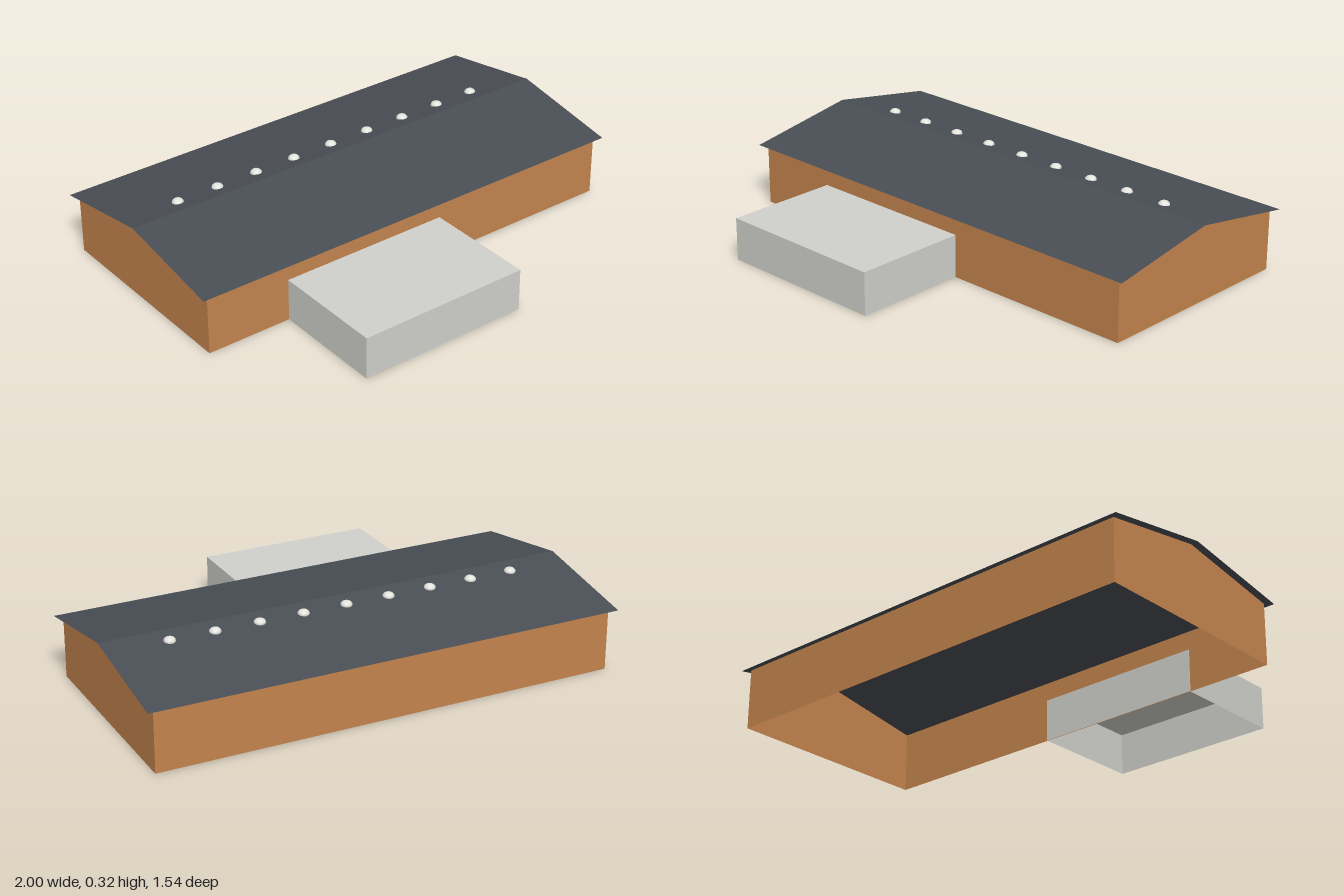
import * as THREE from 'three';

const material = (name, color, side = THREE.DoubleSide) => {
  const m = new THREE.MeshStandardMaterial({ color, side });
  m.name = name;
  return m;
};

// Thin open shell made of flat convex faces, each a loop of [x, y, z] corners
function shell(name, faces, mat) {
  const positions = [];
  for (const f of faces) {
    for (let i = 1; i < f.length - 1; i++) positions.push(...f[0], ...f[i], ...f[i + 1]);
  }
  const geometry = new THREE.BufferGeometry();
  geometry.setAttribute('position', new THREE.Float32BufferAttribute(positions, 3));
  geometry.computeVertexNormals();
  const mesh = new THREE.Mesh(geometry, mat);
  mesh.name = name;
  return mesh;
}

export function createModel() {
  const brick = material('brick', 0xc4844e);
  const slate = material('dark slate', 0x494e55);
  const concrete = material('concrete', 0xd0d1cb);
  const dome = material('skylight white', 0xe4e4de, THREE.FrontSide);

  const model = new THREE.Group();
  model.name = 'hall';
  const building = new THREE.Group();
  building.name = 'building';
  building.position.z = -0.19;
  building.rotation.y = 0.1464;
  model.add(building);

  // Height of the pitched roof at a distance z from the ridge
  const ridge = 0.318;
  const roofY = (z) => ridge - 0.166 * Math.abs(z);

  // Hall walls, open underneath
  const a = 0.914, b = 0.4285, drop = 0.002;
  const eave = roofY(b) - drop;
  const longWall = (s) => [[-s * a, 0, s * b], [s * a, 0, s * b], [s * a, eave, s * b], [-s * a, eave, s * b]];
  const gable = (s) => [
    [s * a, 0, s * b], [s * a, 0, -s * b], [s * a, eave, -s * b],
    [s * a, ridge - drop, 0], [s * a, eave, s * b],
  ];
  building.add(shell('walls', [longWall(1), longWall(-1), gable(1), gable(-1)], brick));

  // Two overhanging roof slopes
  const ra = 0.9425, rb = 0.4515;
  const slope = (s) => [
    [-s * ra, roofY(rb), s * rb], [s * ra, roofY(rb), s * rb],
    [s * ra, ridge, 0], [-s * ra, ridge, 0],
  ];
  building.add(shell('roof', [slope(1), slope(-1)], slate));

  // Flat-roofed annex, open underneath
  const x0 = -0.568, x1 = 0.132, z0 = 0.425, z1 = 0.887, h = 0.17;
  building.add(shell('annex', [
    [[x0, 0, z1], [x1, 0, z1], [x1, h, z1], [x0, h, z1]],
    [[x1, 0, z0], [x0, 0, z0], [x0, h, z0], [x1, h, z0]],
    [[x1, 0, z1], [x1, 0, z0], [x1, h, z0], [x1, h, z1]],
    [[x0, 0, z0], [x0, 0, z1], [x0, h, z1], [x0, h, z0]],
    [[x0, h, z1], [x1, h, z1], [x1, h, z0], [x0, h, z0]],
  ], concrete));

  // Row of domed skylights just behind the ridge
  const domeGeometry = new THREE.SphereGeometry(0.023, 12, 8);
  domeGeometry.scale(1, 0.7, 1);
  for (let i = 0; i < 9; i++) {
    const skylight = new THREE.Mesh(domeGeometry, dome);
    skylight.name = 'skylight' + (i + 1);
    skylight.position.set(-0.703 + i * 0.1753, roofY(0.072), -0.072);
    building.add(skylight);
  }
  return model;
}
